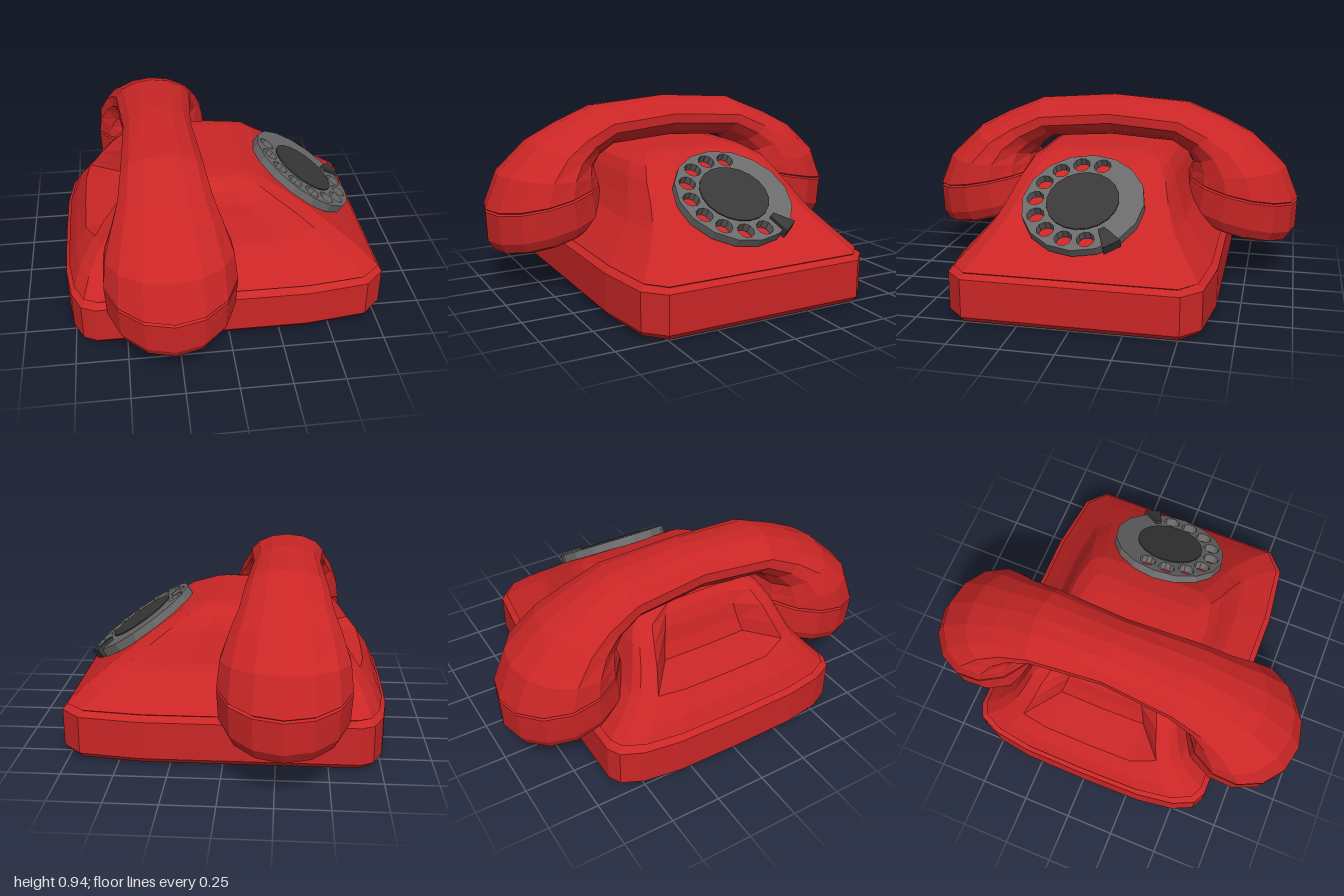
import * as THREE from 'three';

const red = new THREE.MeshStandardMaterial({ color: 0xcb2626 });
red.name = 'red plastic';
const grey = new THREE.MeshStandardMaterial({ color: 0x6a6a6a });
grey.name = 'dial grey';
const dark = new THREE.MeshStandardMaterial({ color: 0x383838 });
dark.name = 'dark grey';
for (const m of [red, grey, dark]) m.flatShading = true;

const V = (x, y, z) => new THREE.Vector3(x, y, z);
const lerp = THREE.MathUtils.lerp;

function add(parent, name, geometry, material) {
  const mesh = new THREE.Mesh(geometry, material);
  mesh.name = name;
  parent.add(mesh);
  return mesh;
}

// Closed skin over equal-length rings, with a fan cap at each end
function loft(rings) {
  const n = rings[0].length;
  const pos = [], index = [];
  for (const r of rings) for (const p of r) pos.push(p.x, p.y, p.z);
  for (let l = 0; l < rings.length - 1; l++) {
    for (let i = 0; i < n; i++) {
      const j = (i + 1) % n;
      const a = l * n + i, b = l * n + j, c = a + n, d = b + n;
      index.push(a, c, b, b, c, d);
    }
  }
  [0, rings.length - 1].forEach((l, end) => {
    const c = V(0, 0, 0);
    rings[l].forEach((p) => c.addScaledVector(p, 1 / n));
    const ci = pos.length / 3;
    pos.push(c.x, c.y, c.z);
    for (let i = 0; i < n; i++) {
      const a = l * n + i, b = l * n + (i + 1) % n;
      if (end) index.push(ci, b, a);
      else index.push(ci, a, b);
    }
  });
  const g = new THREE.BufferGeometry();
  g.setAttribute('position', new THREE.Float32BufferAttribute(pos, 3));
  g.setIndex(index);
  g.computeVertexNormals();
  return g;
}

// Body outline at one height: front x, back x, half width, half width of the front face
function outline(y, xf, xb, hw, zf, dent = 0) {
  const at = (t) => lerp(xf, xb, t);
  const half = [
    [xf, zf], [at(0.06), lerp(zf, hw, 0.7)], [at(0.25), hw], [at(0.91), hw],
    [at(0.95), hw * 0.95], [at(0.98), hw * 0.79], [at(0.997) + dent, hw * 0.5],
  ];
  return [
    V(xf, y, 0),
    ...half.map(([x, z]) => V(x, y, z)),
    V(xb + dent, y, 0),
    ...half.slice().reverse().map(([x, z]) => V(x, y, -z)),
  ];
}

function buildBody(root) {
  // Plinth with a bevelled foot and shoulder: [height, inset]
  const levels = [[0, 0.07], [0.01, 0.02], [0.035, 0], [0.222, 0], [0.243, 0.03]];
  add(root, 'base', loft(levels.map(([y, d]) =>
    outline(y, 0.785 - d, -0.79 + d, 0.64 - d, 0.51 - d * 0.5))), red);

  // Sloping upper shell with a finger recess in the back
  const shell = [
    [0.236, 0.745, -0.75, 0.59, 0.49, 0],
    [0.25, 0.765, -0.772, 0.613, 0.5, 0],
    [0.33, 0.675, -0.735, 0.54, 0.44, 0],
    [0.42, 0.56, -0.675, 0.465, 0.38, 0],
    [0.45, 0.52, -0.65, 0.45, 0.36, 0.17],
    [0.52, 0.43, -0.6, 0.42, 0.33, 0.15],
    [0.60, 0.315, -0.53, 0.39, 0.3, 0.1],
    [0.66, 0.225, -0.46, 0.355, 0.27, 0.06],
    [0.70, 0.11, -0.39, 0.29, 0.24, 0.02],
    [0.71, 0.03, -0.34, 0.23, 0.2, 0],
  ];
  add(root, 'shell', loft(shell.map((s) => outline(...s))), red);
}

function buildHandset(root) {
  // Sections: outer z, y, inner z, y, half width
  const sections = [
    [0, 0.937, 0, 0.72, 0.173],
    [0.4, 0.907, 0.33, 0.7, 0.2],
    [0.6, 0.825, 0.41, 0.65, 0.222],
    [0.765, 0.74, 0.44, 0.6, 0.258],
    [0.93, 0.585, 0.425, 0.56, 0.298],
    [1.0, 0.415, 0.41, 0.53, 0.31],
    [0.99, 0.408, 0.42, 0.524, 0.3],
    [1.0, 0.4, 0.41, 0.517, 0.31],
    [0.995, 0.25, 0.385, 0.39, 0.303],
    [0.965, 0.2, 0.4, 0.345, 0.28],
    [0.92, 0.19, 0.43, 0.32, 0.25],
  ];
  const N = 14;
  const ring = ([oz, oy, iz, iy, w], side) => Array.from({ length: N }, (_, k) => {
    const t = (k / N) * Math.PI * 2;
    const f = (1 + Math.cos(t)) / 2;
    return V(-0.287 + w * Math.sin(t), lerp(iy, oy, f), side * lerp(iz, oz, f));
  });
  const rings = [
    ...sections.slice(1).reverse().map((s) => ring(s, -1)),
    ...sections.map((s) => ring(s, 1)),
  ];
  add(root, 'handset', loft(rings), red);
}

function buildDial(root) {
  const dial = new THREE.Group();
  dial.name = 'dial';
  dial.position.set(0.445, 0.505, 0);
  dial.rotation.z = -0.6;
  root.add(dial);

  // Finger wheel with nine holes; angles run from +z towards the downhill side
  const polar = (r, a) => new THREE.Vector2(r * Math.sin(a), -r * Math.cos(a));
  const circle = (r, n) => Array.from({ length: n }, (_, i) => polar(r, (i / n) * Math.PI * 2));
  const wheel = new THREE.Shape(circle(0.295, 16));
  for (let i = -4; i <= 4; i++) {
    const c = polar(0.232, THREE.MathUtils.degToRad(i * 26));
    wheel.holes.push(new THREE.Path(circle(0.042, 10).map((p) => p.add(c)).reverse()));
  }
  const wheelGeo = new THREE.ExtrudeGeometry(wheel, { depth: 0.045, bevelEnabled: false });
  add(dial, 'fingerWheel', wheelGeo.rotateX(-Math.PI / 2), grey);

  // Centre plate
  add(dial, 'dialCentre', new THREE.CylinderGeometry(0.175, 0.175, 0.006, 20), dark)
    .position.y = 0.048;

  // Wedge-shaped finger stop hooked over the rim
  const stop = new THREE.Shape([[0.205, -0.016], [0.312, -0.045], [0.312, 0.045], [0.205, 0.016]]
    .map(([x, y]) => new THREE.Vector2(x, y)));
  const stopGeo = new THREE.ExtrudeGeometry(stop, { depth: 0.05, bevelEnabled: false });
  stopGeo.rotateX(-Math.PI / 2);
  add(dial, 'fingerStop', stopGeo, dark).rotation.y = THREE.MathUtils.degToRad(36);
  dial.getObjectByName('fingerStop').position.y = 0.01;
}

export function createModel() {
  const root = new THREE.Group();
  root.name = 'telephone';
  buildBody(root);
  buildHandset(root);
  buildDial(root);
  return root;
}
